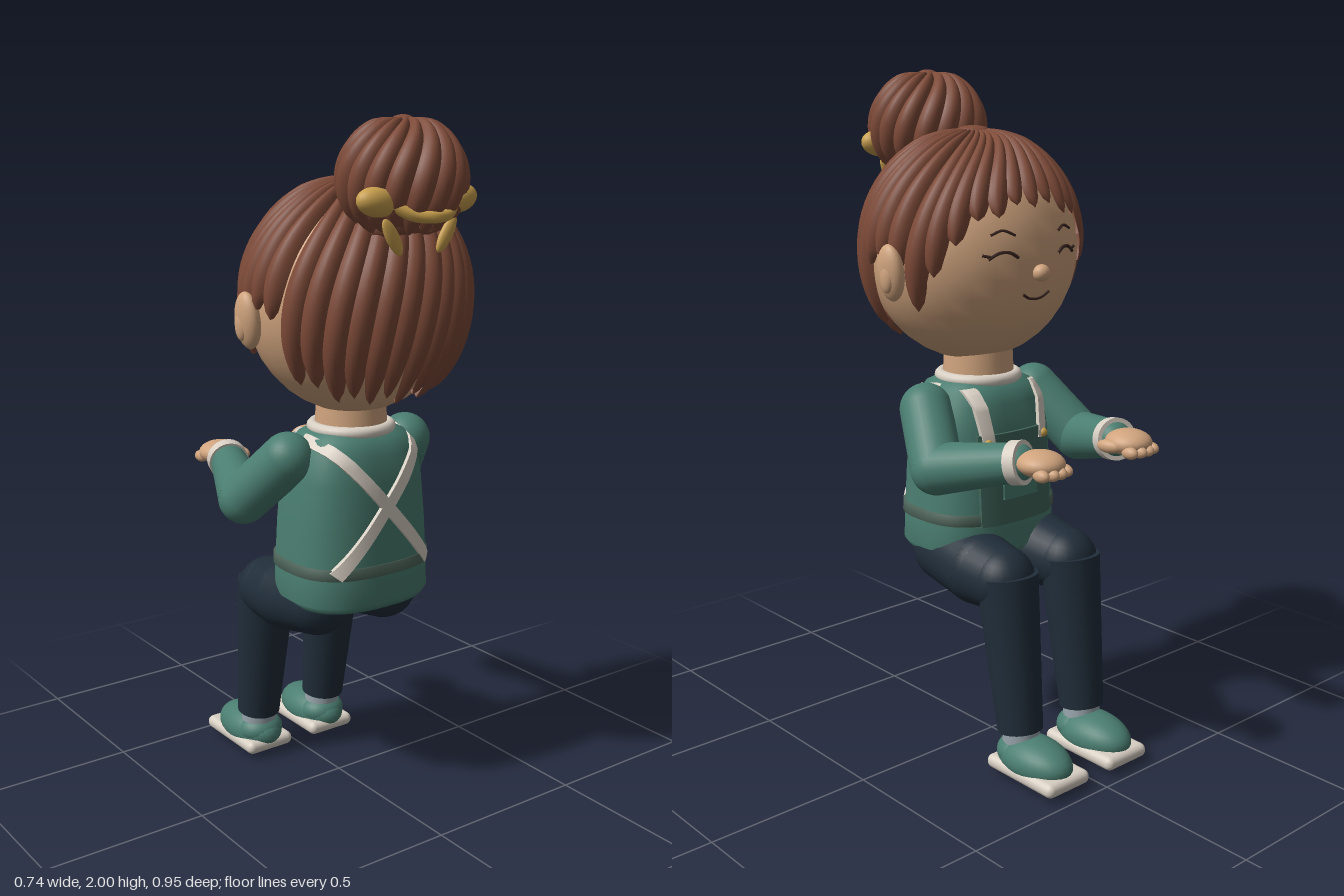
import * as THREE from 'three';
import { mergeVertices } from 'three/addons/utils/BufferGeometryUtils.js';
import { RoundedBoxGeometry } from 'three/addons/geometries/RoundedBoxGeometry.js';

const mat = (name, color) => Object.assign(new THREE.MeshStandardMaterial({ color }), { name });
const M = {
  hair: mat('brown hair', 0x7d4a38), skin: mat('skin', 0xd0a47e), green: mat('green cloth', 0x4a7d70),
  bib: mat('dark green cloth', 0x40655a), belt: mat('grey green', 0x4f665b), navy: mat('navy trousers', 0x202d39),
  cream: mat('cream', 0xd8cfc3), gold: mat('gold ribbon', 0xc9a04e), sock: mat('grey socks', 0x98a5ac),
  line: mat('dark lines', 0x3a2620),
};
M.hair.side = THREE.DoubleSide;
const V = (a) => new THREE.Vector3(a[0], a[1], a[2]);

function add(parent, name, geo, material, pos = [0, 0, 0], rot = [0, 0, 0]) {
  const m = new THREE.Mesh(geo, material);
  m.name = name;
  m.position.set(...pos);
  m.rotation.set(...rot);
  parent.add(m);
  return m;
}
const ball = (p, name, material, pos, r, rot) =>
  add(p, name, new THREE.SphereGeometry(1, 28, 18).scale(...r), material, pos, rot);

// Tapered round limb through joints [x, y, z, radius]
function limb(parent, name, material, joints, caps = true) {
  const g = new THREE.Group();
  g.name = name;
  joints.forEach((j, i) => {
    if (caps) ball(g, name + 'Joint', material, j.slice(0, 3), [j[3], j[3], j[3]]);
    if (!i) return;
    const a = V(joints[i - 1]), b = V(j), d = b.clone().sub(a);
    const m = add(g, name + 'Segment', new THREE.CylinderGeometry(j[3], joints[i - 1][3], d.length(), 28), material);
    m.position.copy(a).add(b).multiplyScalar(0.5);
    m.quaternion.setFromUnitVectors(new THREE.Vector3(0, 1, 0), d.normalize());
  });
  parent.add(g);
}

// Piecewise linear lookup in [key, value] pairs
function lookup(t, k) {
  for (let i = 1; i < t.length; i++) {
    if (k <= t[i][0]) return THREE.MathUtils.mapLinear(k, t[i - 1][0], t[i][0], t[i - 1][1], t[i][1]);
  }
  return t[t.length - 1][1];
}

// Torso: rounded-square sections, half width by height
const TZ = 0.06, DEPTH = 0.82, POW = 0.75;
const PROFILE = [[0.61, 0.21], [0.63, 0.224], [0.7, 0.222], [0.85, 0.214], [0.98, 0.203], [1.06, 0.187], [1.105, 0.155], [1.13, 0.1]];
const halfWidth = (y) => lookup(PROFILE, Math.max(y, 0.61));
function torsoShell(points) {
  const g = new THREE.LatheGeometry(points.map(([y, r]) => new THREE.Vector2(r, y)), 64);
  const p = g.attributes.position;
  const sq = (c) => Math.sign(c) * Math.abs(c) ** POW;
  for (let i = 0; i < p.count; i++) {
    const r = Math.hypot(p.getX(i), p.getZ(i)) || 1e-6;
    p.setX(i, r * sq(p.getX(i) / r));
    p.setZ(i, r * DEPTH * sq(p.getZ(i) / r));
  }
  g.deleteAttribute('normal');
  g.deleteAttribute('uv');
  const out = mergeVertices(g, 1e-5);
  out.computeVertexNormals();
  return out;
}
// Lays a flat patch on the torso, on the back or turned to the front
function drape(parent, name, material, [w, h, t], [x, y], tilt = 0, front = false) {
  const g = new THREE.BoxGeometry(w, h, t, 8, 20, 1).rotateZ(tilt).translate(x, y, 0);
  const p = g.attributes.position;
  for (let i = 0; i < p.count; i++) {
    const r = halfWidth(p.getY(i)), k = Math.min(1, Math.abs(p.getX(i)) / r);
    p.setZ(i, p.getZ(i) + DEPTH * r * (1 - k ** (2 / POW)) ** (POW / 2));
  }
  g.computeVertexNormals();
  add(parent, name, g, material, [0, 0, TZ], [0, front ? Math.PI : 0, 0]);
}

// Swirling pointed locks over an ellipsoid; endPhi gives each lock's length
function locks(parent, name, count, c, R, swirl, bulge, endPhi, flare) {
  const g = new THREE.Group();
  g.name = name;
  const NT = 26, NS = 8;
  for (let i = 0; i < count; i++) {
    const end = (i / count) * Math.PI * 2, pos = [], idx = [], phi1 = endPhi(end, i);
    for (let a = 0; a <= NT; a++) {
      const t = a / NT, phi = 0.06 + t * (phi1 - 0.06);
      const taper = t < 0.72 ? 1 : Math.sqrt(Math.max(0, 1 - ((t - 0.72) / 0.28) ** 2));
      const half = (Math.PI / count) * 1.3 * taper;
      const fat = bulge * Math.min(1, 0.25 + 1.6 * Math.sin(phi)) * (0.35 + 0.65 * taper);
      for (let b = 0; b <= NS; b++) {
        const s = (b / NS) * 2 - 1, th = end - swirl * (1 - t) ** 2 + s * half;
        const off = fat * (1 - s * s) + 0.005 * s;
        const sn = phi > Math.PI / 2 ? Math.sin(phi) ** flare : Math.sin(phi);
        pos.push(c[0] + (R[0] + off) * sn * Math.cos(th), c[1] + (R[1] + off) * Math.cos(phi), c[2] + (R[2] + off) * sn * Math.sin(th));
        if (a < NT && b < NS) {
          const k = a * (NS + 1) + b, n = k + NS + 1;
          idx.push(k, k + 1, n, k + 1, n + 1, n);
        }
      }
    }
    const geo = new THREE.BufferGeometry();
    geo.setAttribute('position', new THREE.Float32BufferAttribute(pos, 3));
    geo.setIndex(idx);
    geo.computeVertexNormals();
    add(g, name + 'Lock', geo, M.hair);
  }
  parent.add(g);
}

// Thin line on the front of the head through [x, y] points
const HEAD = [0, 1.49, 0.08], HR = [0.322, 0.32, 0.283];
function faceLine(parent, name, pts, r) {
  const curve = new THREE.CatmullRomCurve3(pts.map(([x, y]) => new THREE.Vector3(x, y,
    HEAD[2] - HR[2] * Math.sqrt(1 - (x / HR[0]) ** 2 - ((y - HEAD[1]) / HR[1]) ** 2))));
  add(parent, name, new THREE.TubeGeometry(curve, 14, r, 6), M.line);
}

export function createModel() {
  const g = new THREE.Group();
  g.name = 'seatedGirl';

  // Head and face (looking along -z)
  ball(g, 'head', M.skin, HEAD, HR);
  ball(g, 'nose', M.skin, [0, 1.45, -0.208], [0.026, 0.024, 0.024]);
  faceLine(g, 'smile', [[-0.05, 1.392], [-0.02, 1.377], [0.02, 1.377], [0.05, 1.392]], 0.004);
  for (const s of [-1, 1]) {
    ball(g, 'ear', M.skin, [s * 0.335, 1.455, 0.04], [0.03, 0.08, 0.048], [0, 0, -s * 0.1]);
    ball(g, 'innerEar', M.skin, [s * 0.352, 1.445, 0.035], [0.016, 0.045, 0.025]);
    faceLine(g, 'closedEye', [[s * 0.075, 1.497], [s * 0.1, 1.512], [s * 0.13, 1.512], [s * 0.16, 1.495]], 0.005);
    faceLine(g, 'eyelash', [[s * 0.152, 1.502], [s * 0.175, 1.507]], 0.004);
    faceLine(g, 'eyebrow', [[s * 0.08, 1.558], [s * 0.115, 1.572], [s * 0.15, 1.56]], 0.004);
  }

  // Hair: hairline height by angle away from the face
  const hairline = [[0, 1.63], [0.5, 1.6], [0.85, 1.52], [1.05, 1.38], [1.25, 1.33], [1.45, 1.49], [1.72, 1.49], [1.95, 1.29], [2.4, 1.23], [3.2, 1.22]];
  locks(g, 'hairCap', 32, [0, 1.5, 0.085], [0.329, 0.327, 0.284], 0.7, 0.022, (th, i) => {
    const a = Math.abs(Math.atan2(Math.sin(th + Math.PI / 2), Math.cos(th + Math.PI / 2)));
    return Math.acos((lookup(hairline, a) + (i % 2) * 0.02 - 1.5) / 0.335);
  }, 0.8);
  ball(g, 'crown', M.hair, [0, 1.83, 0.08], [0.046, 0.014, 0.046]);

  // Bun and its ribbon
  const B = [-0.02, 1.835, 0.31];
  ball(g, 'bunCore', M.hair, B, [0.15, 0.14, 0.14]);
  locks(g, 'bun', 16, B, [0.158, 0.145, 0.145], 0.9, 0.026, (th, i) => 2.5 + (i % 3) * 0.1, 1);
  ball(g, 'bunCrown', M.hair, [B[0], 1.985, B[2]], [0.03, 0.014, 0.03]);
  add(g, 'bunBase', new THREE.TorusGeometry(0.085, 0.032, 12, 32), M.hair, [-0.01, 1.7, 0.27], [1.25, 0, 0]);
  const bow = new THREE.CatmullRomCurve3([[-0.13, 1.775, 0.41], [-0.08, 1.75, 0.44], [-0.03, 1.745, 0.455], [0.03, 1.75, 0.44], [0.07, 1.775, 0.41]].map(V));
  add(g, 'ribbonBand', new THREE.TubeGeometry(bow, 20, 0.016, 10), M.gold);
  for (const s of [-1, 1]) {
    ball(g, 'ribbonLoop', M.gold, [-0.035 + s * 0.135, 1.785, 0.395], [0.06, 0.038, 0.036], [0, 0, s * 0.15]);
    ball(g, 'ribbonTail', M.gold, [-0.035 + s * 0.09, 1.695, 0.405], [0.02, 0.055, 0.012], [0, 0, -s * 0.55]);
  }

  // Neck, collar and sweater
  add(g, 'neck', new THREE.CylinderGeometry(0.1, 0.108, 0.16, 32), M.skin, [0, 1.16, TZ]);
  add(g, 'collar', new THREE.TorusGeometry(0.112, 0.018, 12, 40), M.cream, [0, 1.122, TZ], [Math.PI / 2, 0, 0]);
  add(g, 'sweater', torsoShell([[0.61, 0], ...PROFILE, [1.135, 0]]), M.green, [0, 0, TZ]);
  add(g, 'belt', torsoShell([[0.712, 0.215], [0.714, 0.227], [0.746, 0.226], [0.748, 0.215]]), M.belt, [0, 0, TZ]);

  // Apron bib with pocket, shoulder straps and buttons
  drape(g, 'bib', M.bib, [0.27, 0.27, 0.02], [0, 0.845], 0, true);
  drape(g, 'pocket', M.green, [0.13, 0.09, 0.03], [0, 0.83], 0, true);
  drape(g, 'pocketFlap', M.bib, [0.14, 0.03, 0.038], [0, 0.872], 0, true);
  for (const s of [-1, 1]) {
    drape(g, 'backStrap', M.cream, [0.036, 0.5, 0.024], [0, 0.915], s * 0.72);
    drape(g, 'frontStrap', M.cream, [0.036, 0.165, 0.026], [s * 0.112, 1.025], -s * 0.12, true);
    ball(g, 'button', M.gold, [s * 0.108, 0.955, -0.108], [0.014, 0.014, 0.012]);
  }

  for (const s of [-1, 1]) {
    // Arm, cuff and hand held forward
    limb(g, 'sleeve', M.green, [[s * 0.213, 1.05, 0.045, 0.076], [s * 0.281, 0.912, -0.085, 0.075], [s * 0.19, 0.962, -0.315, 0.055]]);
    limb(g, 'cuff', M.cream, [[s * 0.194, 0.96, -0.305, 0.062], [s * 0.183, 0.966, -0.338, 0.062]], false);
    ball(g, 'palm', M.skin, [s * 0.172, 0.972, -0.392], [0.066, 0.037, 0.07]);
    ball(g, 'thumb', M.skin, [s * 0.113, 0.965, -0.375], [0.02, 0.02, 0.04], [0, -s * 0.25, 0]);
    for (let i = 0; i < 4; i++) {
      ball(g, 'finger', M.skin, [s * (0.128 + i * 0.029), 0.955, -0.438 - (i % 3 ? 0.008 : 0)], [0.017, 0.018, 0.028]);
    }

    // Leg, sock and shoe
    limb(g, 'thigh', M.navy, [[s * 0.122, 0.605, 0.06, 0.103], [s * 0.125, 0.582, -0.09, 0.109], [s * 0.127, 0.575, -0.19, 0.096]]);
    limb(g, 'shin', M.navy, [[s * 0.126, 0.595, -0.208, 0.091], [s * 0.126, 0.135, -0.268, 0.067]], false);
    limb(g, 'sock', M.sock, [[s * 0.125, 0.15, -0.268, 0.055], [s * 0.123, 0.07, -0.272, 0.056]], false);
    ball(g, 'shoe', M.green, [s * 0.122, 0.06, -0.325], [0.083, 0.066, 0.135]);
    ball(g, 'shoeHeel', M.green, [s * 0.122, 0.07, -0.27], [0.074, 0.05, 0.072]);
    add(g, 'sole', new RoundedBoxGeometry(0.165, 0.042, 0.275, 4, 0.02), M.cream, [s * 0.12, 0.031, -0.336]);
    add(g, 'solePatch', new THREE.CylinderGeometry(0.045, 0.045, 0.012, 28).scale(1, 1, 1.2), M.green, [s * 0.12, 0.006, -0.345]);
  }
  return g;
}
